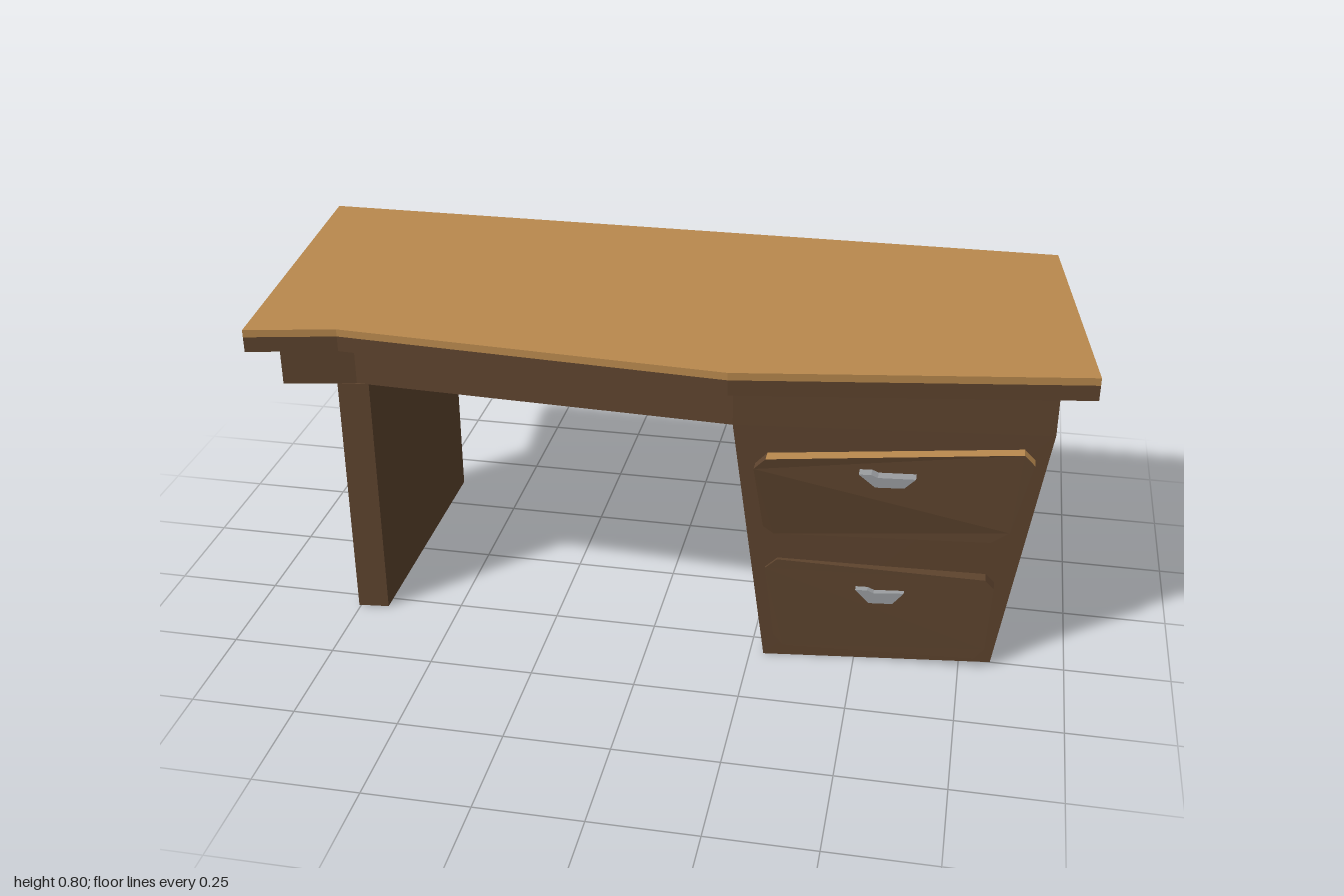
import * as THREE from 'three';

const make = (name, color) => new THREE.MeshStandardMaterial({ name, color });

// Flat-shaded solid lofted through rings of [x,y,z]; rings run counterclockwise
// seen from the end they grow towards. flat() gives the 2D plane of the end caps,
// pick(band, side) chooses the material index of each side face.
function loft(name, rings, flat, mats, pick = () => 0, capIndex = 0) {
  const pos = [], geo = new THREE.BufferGeometry();
  const face = (m, ...pts) => {
    geo.addGroup(pos.length / 3, pts.length, m);
    pts.forEach(p => pos.push(...p));
  };
  const n = rings[0].length;
  for (let r = 0; r < rings.length - 1; r++) {
    const a = rings[r], b = rings[r + 1];
    for (let i = 0; i < n; i++) {
      const j = (i + 1) % n;
      face(pick(r, i), a[i], a[j], b[j], a[i], b[j], b[i]);
    }
  }
  const first = rings[0], last = rings[rings.length - 1];
  const tris = ring => THREE.ShapeUtils.triangulateShape(ring.map(p => new THREE.Vector2(...flat(p))), []);
  tris(first).forEach(([a, b, c]) => face(0, first[c], first[b], first[a]));
  tris(last).forEach(([a, b, c]) => face(capIndex, last[a], last[b], last[c]));
  geo.setAttribute('position', new THREE.Float32BufferAttribute(pos, 3));
  geo.computeVertexNormals();
  const mesh = new THREE.Mesh(geo, mats);
  mesh.name = name;
  return mesh;
}

const fromAbove = ([x, , z]) => [x, -z];
const fromFront = ([x, y]) => [x, y];
const level = (outline, y) => outline.map(([x, z]) => [x, y, z]);

export function createModel() {
  const group = new THREE.Group();
  const brown = make('darkWood', 0x5e442e);
  const light = make('lightWood', 0xb9894e);
  const metal = make('handleMetal', 0x9b9ea1);
  const woods = [brown, light];

  // Outlines as [x, z]: front from left to right, then the back
  const topOutline = [[-0.93, 0.40], [-0.72, 0.355], [0.2, 0.415], [1, 0.29], [0.91, -0.42], [-1, -0.42]];
  const apronOutline = [[-0.88, 0.32], [-0.71, 0.285], [0.2, 0.33], [0.92, 0.25], [0.85, -0.37], [-0.915, -0.37]];

  // Table top with a sloped underside and a light strip on the front and right edges
  group.add(loft('tableTop', [
    level(apronOutline, 0.73), level(topOutline, 0.74), level(topOutline, 0.777), level(topOutline, 0.795),
  ], fromAbove, woods, (band, side) => (band === 2 && side < 4 ? 1 : 0), 1));

  group.add(loft('apron', [level(apronOutline, 0.625), level(apronOutline, 0.731)], fromAbove, woods));

  // Tapered drawer pedestal
  group.add(loft('pedestal', [
    level([[0.283, 0.315], [0.825, 0.25], [0.825, -0.37], [0.325, -0.37]], 0),
    level([[0.2, 0.33], [0.92, 0.25], [0.85, -0.37], [0.25, -0.37]], 0.626),
  ], fromAbove, woods));

  // Panel leg
  const legOutline = [[-0.755, 0.295], [-0.68, 0.287], [-0.68, -0.37], [-0.755, -0.37]];
  group.add(loft('panelLeg', [level(legOutline, 0), level(legOutline, 0.626)], fromAbove, woods));

  // Drawers: skewed eight-sided fronts whose face leans out towards the left
  const drawers = [
    {
      name: 'upperDrawer', topColor: 1, zLow: 0.325, zHigh: 0.36, zRight: 0.288,
      outline: [[0.30, 0.345], [0.80, 0.357], [0.84, 0.385], [0.88, 0.562], [0.855, 0.588], [0.28, 0.556], [0.253, 0.528], [0.275, 0.365]],
      handle: [[0.53, 0.506], [0.595, 0.506], [0.62, 0.53], [0.535, 0.531], [0.52, 0.538], [0.492, 0.538]], handleZ: 0.352,
    },
    {
      name: 'lowerDrawer', topColor: 0, zLow: 0.32, zHigh: 0.327, zRight: 0.285,
      outline: [[0.33, 0.032], [0.785, 0.032], [0.808, 0.06], [0.816, 0.23], [0.795, 0.252], [0.31, 0.276], [0.282, 0.25], [0.306, 0.06]],
      handle: [[0.53, 0.18], [0.585, 0.18], [0.61, 0.21], [0.54, 0.208], [0.525, 0.215], [0.497, 0.215]], handleZ: 0.327,
    },
  ];
  for (const d of drawers) {
    const ys = d.outline.map(p => p[1]), lo = Math.min(...ys), hi = Math.max(...ys);
    const frontZ = (x, y) => THREE.MathUtils.lerp(
      THREE.MathUtils.lerp(d.zLow, d.zHigh, (y - lo) / (hi - lo)), d.zRight, (x - 0.26) / 0.58);
    group.add(loft(d.name, [
      d.outline.map(([x, y]) => [x, y, 0.24]),
      d.outline.map(([x, y]) => [x, y, frontZ(x, y)]),
    ], fromFront, woods, (band, side) => (side === 3 || side === 4 ? d.topColor : 0)));
    group.add(loft(d.name + 'Handle', [
      d.handle.map(([x, y]) => [x, y, 0.29]),
      d.handle.map(([x, y]) => [x, y, d.handleZ - (x - 0.49) * 0.11]),
    ], fromFront, [metal]));
  }
  return group;
}
